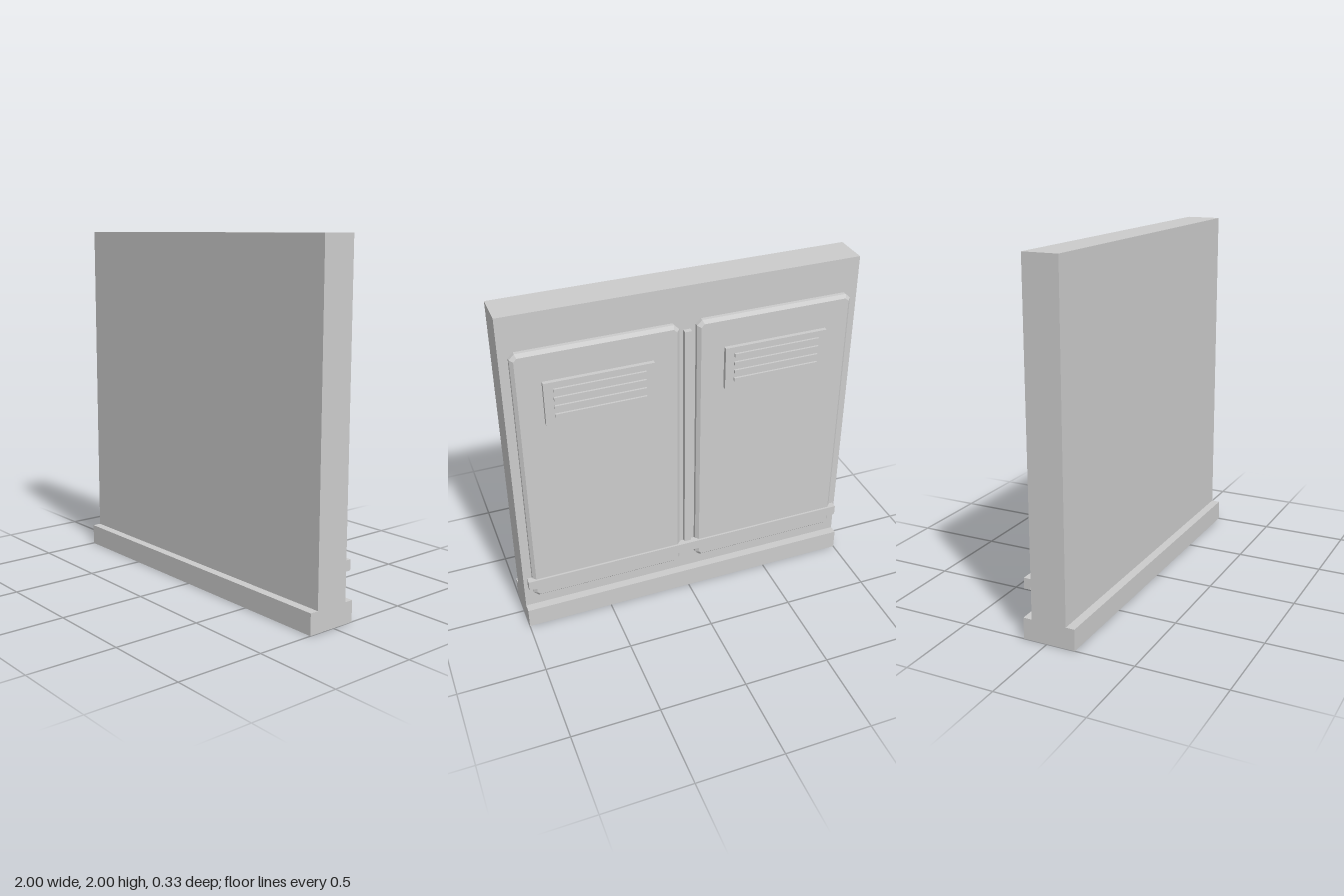
import * as THREE from 'three';

const material = new THREE.MeshStandardMaterial({ color: 0xcccccc, flatShading: true });

// Box given by its extents on each axis
function box(name, [x0, x1], [y0, y1], [z0, z1]) {
  const mesh = new THREE.Mesh(new THREE.BoxGeometry(x1 - x0, y1 - y0, z1 - z0), material);
  mesh.position.set((x0 + x1) / 2, (y0 + y1) / 2, (z0 + z1) / 2);
  mesh.name = name;
  return mesh;
}

// Plate with cut corners and a chamfered outer face, built towards +z
function chamferedPlate(width, height, depth, chamfer) {
  const w = width / 2 - chamfer, h = height / 2 - chamfer, c = chamfer;
  const shape = new THREE.Shape([
    [-w + c, -h], [w - c, -h], [w, -h + c], [w, h - c],
    [w - c, h], [-w + c, h], [-w, h - c], [-w, -h + c],
  ].map(([x, y]) => new THREE.Vector2(x, y)));
  return new THREE.ExtrudeGeometry(shape, {
    depth: depth - chamfer, bevelEnabled: true, bevelSegments: 1,
    bevelThickness: chamfer, bevelSize: chamfer,
  });
}

// Raised panel with its louvred vent, centred on the given x
function createPanel(side) {
  const panel = new THREE.Group();
  panel.name = side > 0 ? 'leftPanel' : 'rightPanel';
  const plate = new THREE.Mesh(chamferedPlate(0.9, 1.6, 0.04, 0.018), material);
  plate.name = 'panelPlate';
  plate.rotation.y = Math.PI;
  plate.position.set(0, 1, -0.087);
  panel.add(plate);

  const vent = new THREE.Group();
  vent.name = 'vent';
  vent.add(box('ventPlate', [-0.3, 0.3], [1.375, 1.625], [-0.151, -0.12]));
  for (let i = 0; i < 4; i++) {
    const y = 1.428 + i * 0.05;
    vent.add(box('ventSlat', [-0.25, 0.25], [y - 0.01, y + 0.01], [-0.163, -0.145]));
  }
  panel.add(vent);
  panel.position.x = side * 0.5;
  return panel;
}

export function createModel() {
  const model = new THREE.Group();
  model.name = 'wallSection';

  // Wall slab and wider plinth
  model.add(box('wall', [-1, 1], [0.12, 2], [-0.087, 0.113]));
  model.add(box('plinth', [-1, 1], [0, 0.12], [-0.137, 0.163]));

  // Back panels, the strip between them and the low rail across both
  for (const side of [-1, 1]) model.add(createPanel(side));
  model.add(box('centreStrip', [-0.02, 0.02], [0.25, 1.75], [-0.117, -0.08]));
  model.add(box('rail', [-0.98, 0.98], [0.275, 0.335], [-0.139, -0.1]));

  return model;
}
